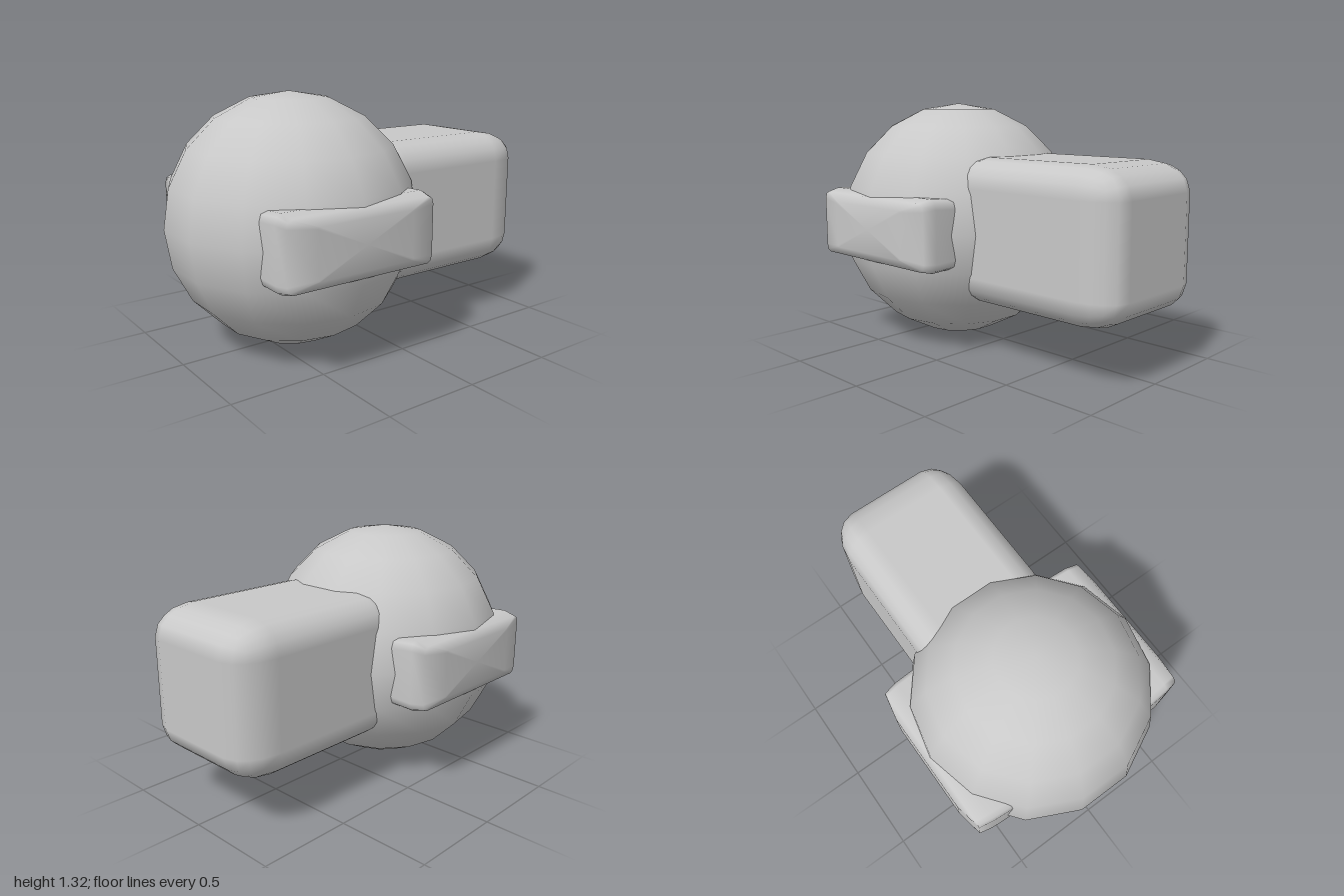
import * as THREE from 'three';
import { RoundedBoxGeometry } from 'three/addons/geometries/RoundedBoxGeometry.js';

// Rounded pad lofted along +x from [x, halfHeight, halfDepth, bevelY, bevelZ] sections, closed at its outer end.
function padGeometry(sections) {
  const positions = [], index = [];
  const quadrants = [[1, 1], [-1, 1], [-1, -1], [1, -1]];
  const arc = [0, Math.PI / 4, Math.PI / 2];
  const n = quadrants.length * arc.length;
  for (const [x, hy, hz, by, bz] of sections) {
    quadrants.forEach(([sy, sz]) => {
      const angles = sy * sz > 0 ? arc : [...arc].reverse();
      for (const a of angles) {
        positions.push(x, sy * (hy - by + by * Math.cos(a)), sz * (hz - bz + bz * Math.sin(a)));
      }
    });
  }
  for (let i = 0; i < sections.length - 1; i++) {
    for (let j = 0; j < n; j++) {
      const k = (j + 1) % n;
      const a = i * n + j, b = i * n + k;
      index.push(a, b, b + n, a, b + n, a + n);
    }
  }
  // outer face
  const last = (sections.length - 1) * n;
  const centre = sections.length * n;
  positions.push(sections[sections.length - 1][0], 0, 0);
  for (let j = 0; j < n; j++) index.push(centre, last + j, last + (j + 1) % n);

  const geometry = new THREE.BufferGeometry();
  geometry.setAttribute('position', new THREE.Float32BufferAttribute(positions, 3));
  geometry.setIndex(index);
  geometry.computeVertexNormals();
  return geometry;
}

export function createModel() {
  const model = new THREE.Group();
  model.name = 'model';
  const grey = new THREE.MeshStandardMaterial({ color: 0xc8c8c8 });
  grey.name = 'light grey';

  const add = (name, geometry, x, y, z) => {
    const mesh = new THREE.Mesh(geometry, grey);
    mesh.name = name;
    mesh.position.set(x, y, z);
    model.add(mesh);
    return mesh;
  };

  // Low-poly, smooth-shaded ball
  add('ball', new THREE.SphereGeometry(0.66, 14, 10), 0, 0.66, 0.357);

  // Rounded block at the back, its front end buried in the ball
  const block = new RoundedBoxGeometry(1, 1, 1, 2, 0.2);
  block.scale(0.76, 0.76, 1.1);
  add('backBlock', block, 0, 0.665, -0.45);

  // Slightly barrelled pads on both sides
  const pad = padGeometry([
    [0.3, 0.175, 0.445, 0.05, 0.035],
    [0.45, 0.18, 0.445, 0.05, 0.035],
    [0.56, 0.187, 0.437, 0.05, 0.035],
    [0.632, 0.17, 0.422, 0.04, 0.03],
    [0.66, 0.125, 0.275, 0.01, 0.01],
  ]);
  add('leftPad', pad, 0, 0.663, 0.355);
  add('rightPad', pad, 0, 0.663, 0.355).rotation.y = Math.PI;

  return model;
}
